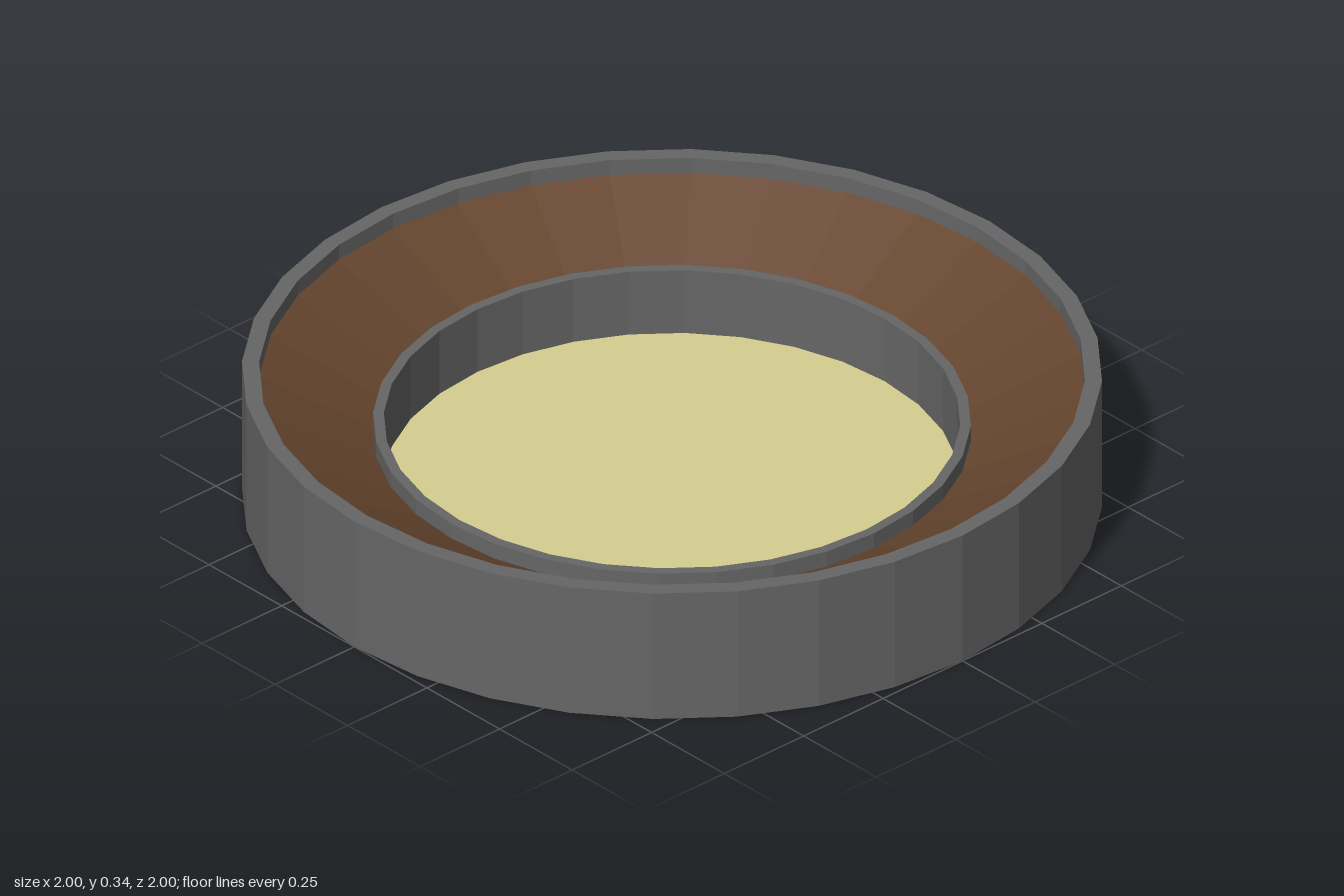
import * as THREE from 'three';

const SIDES = 32;

function flat(name, hex) {
  const m = new THREE.MeshStandardMaterial({ color: hex, flatShading: true });
  m.name = name;
  return m;
}

export function createModel() {
  const group = new THREE.Group();
  group.name = 'roundDish';

  const metal = flat('dark grey metal', 0x666666);
  const brown = flat('brown lining', 0x65452e);
  const cream = flat('pale yellow floor', 0xd5cf91);
  const tan = flat('tan underside', 0xb2977f);

  const add = (name, geometry, material) => {
    const mesh = new THREE.Mesh(geometry, material);
    mesh.name = name;
    group.add(mesh);
    return mesh;
  };

  // Profiles run up the outside, over the lip and down the inside
  const ring = (name, profile, material) =>
    add(name, new THREE.LatheGeometry(profile.map(([r, y]) => new THREE.Vector2(r, y)), SIDES), material);

  const disc = (name, radius, y, tilt, material) => {
    const mesh = add(name, new THREE.CircleGeometry(radius, SIDES), material);
    mesh.rotation.x = tilt;
    mesh.position.y = y;
  };

  // Outer wall with its narrow lip
  ring('outerRim', [[1, 0], [1, 0.34], [0.96, 0.34], [0.96, 0.3]], metal);

  // Lining sloping down to the well
  ring('slopedLining', [[0.96, 0.3], [0.695, 0.17]], brown);

  // Raised collar and wall of the well
  ring('innerCollar', [[0.695, 0.17], [0.695, 0.21], [0.67, 0.21], [0.67, 0.04]], metal);

  // Floor of the well and the closed underside
  disc('wellFloor', 0.67, 0.04, -Math.PI / 2, cream);
  disc('underside', 1, 0, Math.PI / 2, tan);

  return group;
}
